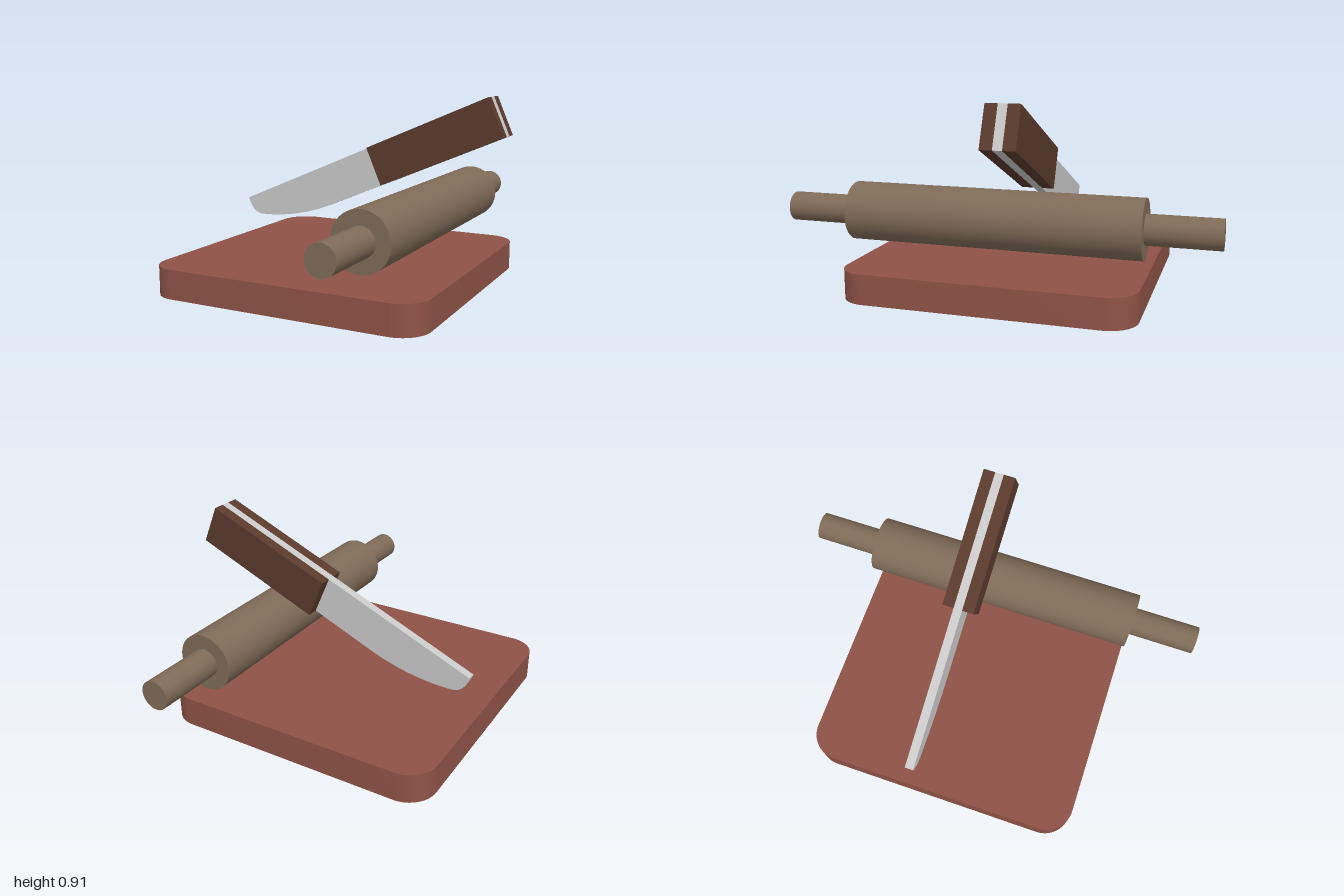
import * as THREE from 'three';
import { toCreasedNormals } from 'three/addons/utils/BufferGeometryUtils.js';

const material = (name, color) => {
  const m = new THREE.MeshStandardMaterial({ color });
  m.name = name;
  return m;
};

function addMesh(parent, name, geometry, mat, x = 0, y = 0, z = 0) {
  const mesh = new THREE.Mesh(geometry, mat);
  mesh.name = name;
  mesh.position.set(x, y, z);
  parent.add(mesh);
  return mesh;
}

// Extrudes a shape, keeping curved sides smooth and edges sharp
const slab = (shape, depth) => toCreasedNormals(
  new THREE.ExtrudeGeometry(shape, { depth, bevelEnabled: false, curveSegments: 16 }), 0.5);

function roundedRect(w, h, r) {
  const x = w / 2 - r, y = h / 2 - r;
  const s = new THREE.Shape();
  s.absarc(x, y, r, 0, Math.PI / 2);
  s.absarc(-x, y, r, Math.PI / 2, Math.PI);
  s.absarc(-x, -y, r, Math.PI, Math.PI * 1.5);
  s.absarc(x, -y, r, Math.PI * 1.5, Math.PI * 2);
  return s;
}

export function createModel() {
  const model = new THREE.Group();
  model.name = 'kitchenSet';
  const boardWood = material('red brown board wood', 0x8e5346);
  const pinWood = material('tan pin wood', 0x7f6b57);
  const handleWood = material('dark handle wood', 0x5a3a2d);
  const steel = material('steel', 0xc9c9c9);

  // Cutting board with rounded corners
  const board = addMesh(model, 'cuttingBoard', slab(roundedRect(1.355, 1.35, 0.135), 0.14), boardWood, -0.052);
  board.rotation.x = -Math.PI / 2;

  // Rolling pin: barrel and two grips along z
  const pin = new THREE.Group();
  pin.name = 'rollingPin';
  pin.position.set(0.37, 0.372, 0);
  pin.rotation.x = Math.PI / 2;
  model.add(pin);
  addMesh(pin, 'pinBarrel', new THREE.CylinderGeometry(0.135, 0.135, 1.35, 48), pinWood);
  for (const side of [1, -1]) {
    addMesh(pin, side > 0 ? 'frontGrip' : 'backGrip',
      new THREE.CylinderGeometry(0.068, 0.068, 0.325, 40), pinWood, 0, side * 0.8375, 0);
  }

  // Knife, tilted; its origin is the top of the blade where the handle begins
  const knife = new THREE.Group();
  knife.name = 'knife';
  knife.position.set(0.04, 0.655, -0.13);
  knife.rotation.z = 0.405;
  model.add(knife);
  const length = 0.659, height = 0.196, thickness = 0.042, scale = 0.056;

  // Blade and full tang in one piece
  const outline = new THREE.Shape();
  outline.moveTo(length, 0);
  outline.lineTo(-0.794, 0);
  outline.quadraticCurveTo(-0.804, -0.085, -0.744, -0.111);
  outline.quadraticCurveTo(-0.545, -height, -0.33, -height);
  outline.lineTo(length, -height);
  outline.closePath();
  addMesh(knife, 'bladeAndTang', slab(outline, thickness), steel, 0, 0, -thickness / 2);

  // Wooden handle scales on both sides of the tang
  for (const side of [1, -1]) {
    addMesh(knife, side > 0 ? 'frontHandleScale' : 'backHandleScale',
      new THREE.BoxGeometry(length, height, scale), handleWood,
      length / 2, -height / 2, side * (thickness + scale) / 2);
  }
  return model;
}
